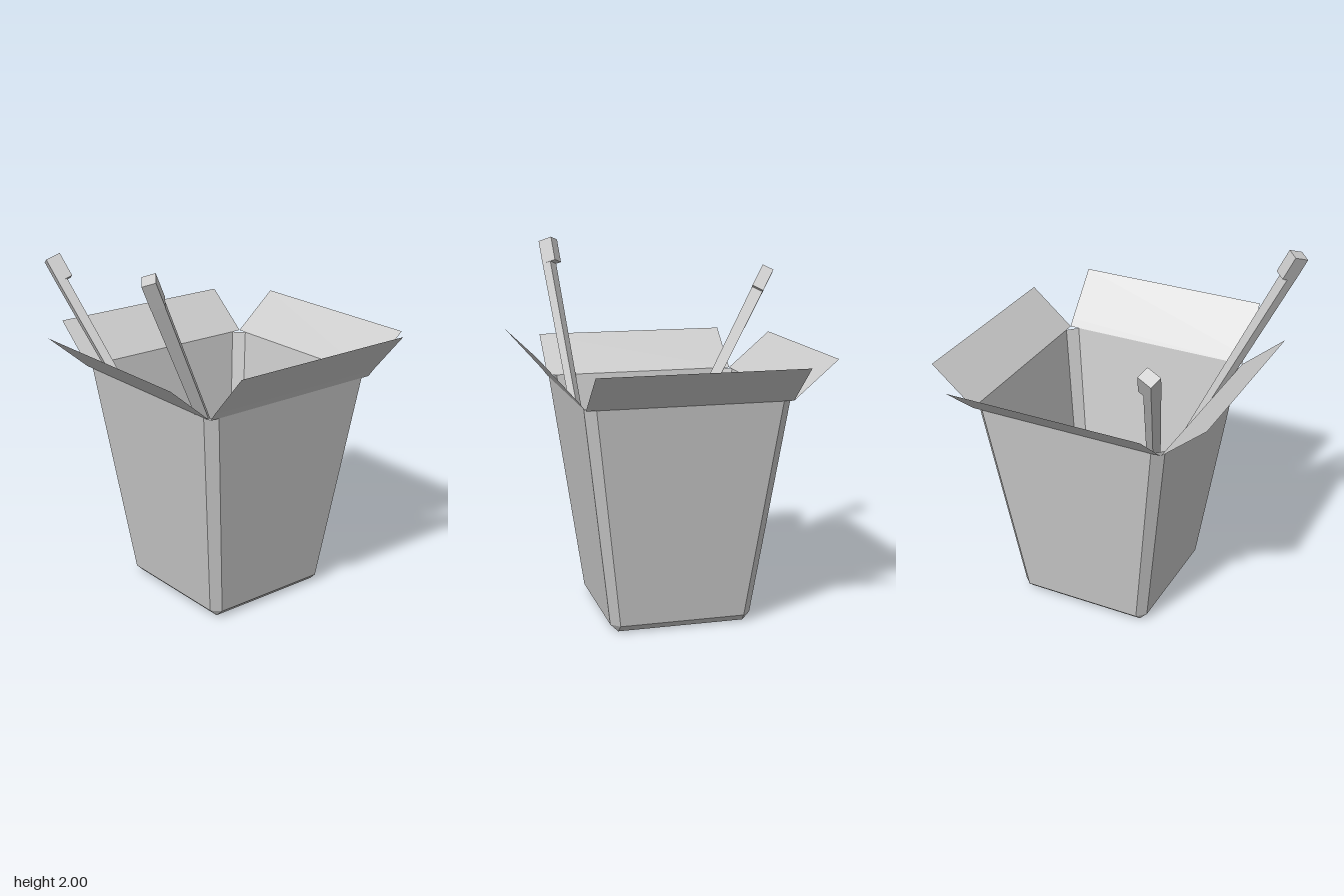
import * as THREE from 'three';

const paper = new THREE.MeshStandardMaterial({ color: 0xcccccc, flatShading: true, side: THREE.DoubleSide });
const wood = new THREE.MeshStandardMaterial({ color: 0xcccccc, flatShading: true });

// Joins rings of equal point count, listed bottom to top and counterclockwise from above.
function loft(rings, capTop) {
  const pos = [];
  const tri = (...pts) => pts.forEach((p) => pos.push(p.x, p.y, p.z));
  const n = rings[0].length;
  for (let r = 0; r < rings.length - 1; r++) {
    for (let i = 0; i < n; i++) {
      const j = (i + 1) % n;
      const [a, b, c, d] = [rings[r][i], rings[r][j], rings[r + 1][j], rings[r + 1][i]];
      if (!a.equals(b)) tri(a, b, c);
      tri(a, c, d);
    }
  }
  const fan = (ring, flip) => {
    for (let i = 1; i < n - 1; i++) {
      if (flip) tri(ring[0], ring[i + 1], ring[i]);
      else tri(ring[0], ring[i], ring[i + 1]);
    }
  };
  fan(rings[0], true);
  if (capTop) fan(rings[rings.length - 1], false);
  const geo = new THREE.BufferGeometry();
  geo.setAttribute('position', new THREE.Float32BufferAttribute(pos, 3));
  geo.computeVertexNormals();
  return geo;
}

// Square ring with cut corners; inner is the half length of the straight sides.
function cutSquare(half, inner, y) {
  const ring = [];
  for (let k = 0; k < 4; k++) {
    for (const [x, z] of [[half, inner], [half, -inner]]) {
      ring.push(new THREE.Vector3(x, y, z).applyAxisAngle(new THREE.Vector3(0, 1, 0), (k * Math.PI) / 2));
    }
  }
  // Snap so that coinciding corners are exactly equal
  ring.forEach((p) => p.set(+p.x.toFixed(5), +p.y.toFixed(5), +p.z.toFixed(5)));
  return ring;
}

const RIM = 0.544, RIM_Y = 1.235;

// Thin flap hinged on the rim, following [outward, up] points.
function makeFlap(profile, name, angle) {
  const geo = new THREE.PlaneGeometry(2 * RIM, 1, 1, profile.length - 1);
  const p = geo.attributes.position;
  for (let i = 0; i < p.count; i++) {
    const [out, up] = profile[profile.length - 1 - Math.floor(i / 2)];
    p.setXYZ(i, p.getX(i), RIM_Y + up, RIM + out);
  }
  geo.computeVertexNormals();
  const flap = new THREE.Mesh(geo, paper);
  flap.name = name;
  flap.rotation.y = angle;
  return flap;
}

// Tapered stick whose head steps out towards the given direction.
function makeStick(name, base, top, step) {
  const from = new THREE.Vector3(...base);
  const axis = new THREE.Vector3(...top).sub(from);
  const length = axis.length();
  axis.normalize();
  const e1 = new THREE.Vector3(...step);
  e1.addScaledVector(axis, -e1.dot(axis)).normalize();
  const e2 = new THREE.Vector3().crossVectors(e1, axis);
  const rect = (x0, x1, w, y) =>
    [[x1, w], [x1, -w], [x0, -w], [x0, w]].map(([x, z]) => new THREE.Vector3(x, y, z));
  const neck = length - 0.14;
  const geo = loft([
    rect(-0.018, 0.018, 0.02, 0),
    rect(-0.042, 0.01, 0.034, neck),
    rect(-0.042, 0.042, 0.035, neck),
    rect(-0.042, 0.042, 0.035, length),
  ], true);
  geo.applyMatrix4(new THREE.Matrix4().makeBasis(e1, axis, e2).setPosition(from));
  const stick = new THREE.Mesh(geo, wood);
  stick.name = name;
  return stick;
}

export function createModel() {
  const model = new THREE.Group();
  model.name = 'takeoutBoxWithSticks';

  // Open carton with flat floor, bevelled foot and cut corners
  const carton = new THREE.Group();
  carton.name = 'carton';
  carton.position.set(0.055, 0, 0.021);
  const body = new THREE.Mesh(loft([
    cutSquare(0.345, 0.345, 0),
    cutSquare(0.386, 0.34, 0.04),
    cutSquare(RIM, 0.49, RIM_Y),
  ], false), paper);
  body.name = 'cartonBody';
  carton.add(body);

  // Four open flaps, the front one creased and taller
  const plain = [[0, 0], [0.241, 0.205]];
  const creased = [[0, 0], [0.03, 0.04], [0.236, 0.275]];
  ['frontFlap', 'leftFlap', 'backFlap', 'rightFlap'].forEach((name, i) => {
    carton.add(makeFlap(i === 0 ? creased : plain, name, (i * Math.PI) / 2));
  });
  model.add(carton);

  // Pair of eating sticks leaning on the rim
  model.add(makeStick('frontStick', [0.01, 0.27, 0.355], [-0.794, 1.978, 0.494], [0.55, 0.32, -0.77]));
  model.add(makeStick('backStick', [-0.145, 0.25, 0.185], [-0.534, 1.805, -0.768], [0.91, 0.35, 0.21]));
  return model;
}
